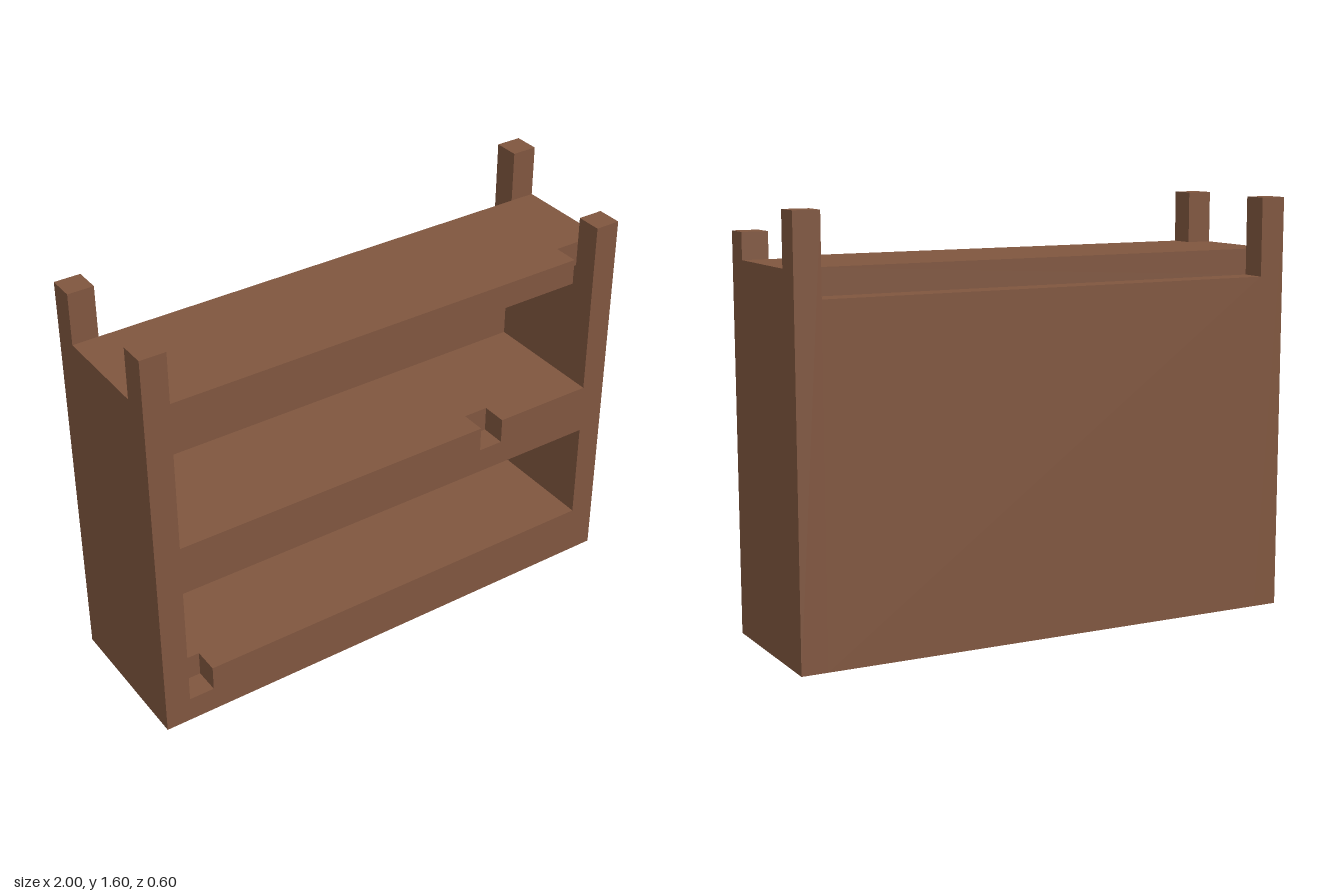
import * as THREE from 'three';

const wood = new THREE.MeshStandardMaterial({ color: 0x80563f });
wood.name = 'brown wood';

const W = 1;      // half width
const D = 0.3;    // half depth
const T = 0.1;    // panel thickness and size of the chipped corners

// Box given by its minimum and maximum corners
function block(name, [x0, y0, z0], [x1, y1, z1]) {
  const geometry = new THREE.BoxGeometry(x1 - x0, y1 - y0, z1 - z0);
  geometry.translate((x0 + x1) / 2, (y0 + y1) / 2, (z0 + z1) / 2);
  const mesh = new THREE.Mesh(geometry, wood);
  mesh.name = name;
  return mesh;
}

// Board between the sides, with a square chip missing from its front edge at chipX
function chippedBoard(name, y, chipX) {
  const l = -W + T, r = W - T, back = -D + T, inner = D - T;
  // plan outline in (x, -z), since the extrusion is turned to point up
  const outline = [[l, back], [r, back], [r, D], [chipX + T, D], [chipX + T, inner],
    [chipX, inner], [chipX, D], [l, D]];
  const points = outline.map(([x, z]) => new THREE.Vector2(x, -z))
    .filter((p, i, all) => i === 0 || p.distanceTo(all[i - 1]) > 1e-6);
  // drop the sliver when the chip touches an end of the board
  if (Math.abs(chipX + T - r) < 1e-6) points.splice(2, 2, new THREE.Vector2(r, -inner));
  if (Math.abs(chipX - l) < 1e-6) points.splice(points.length - 2, 2, new THREE.Vector2(l, -inner));
  const clean = points.filter((p, i, all) => i === 0 || p.distanceTo(all[i - 1]) > 1e-6);
  const geometry = new THREE.ExtrudeGeometry(new THREE.Shape(clean), { depth: T, bevelEnabled: false });
  geometry.rotateX(-Math.PI / 2);
  geometry.translate(0, y, 0);
  const mesh = new THREE.Mesh(geometry, wood);
  mesh.name = name;
  return mesh;
}

// Side panel whose two corner posts rise above the top board
function sidePanel(name, x, frontPostTop) {
  const shape = new THREE.Shape([
    [-D, 0], [D, 0], [D, 1.6], [D - T, 1.6], [D - T, 1.4],
    [-D + T, 1.4], [-D + T, frontPostTop], [-D, frontPostTop],
  ].map(([z, y]) => new THREE.Vector2(z, y)));
  const geometry = new THREE.ExtrudeGeometry(shape, { depth: T, bevelEnabled: false });
  geometry.rotateY(Math.PI / 2);   // shape x becomes -z, depth becomes +x
  geometry.translate(x, 0, 0);
  const mesh = new THREE.Mesh(geometry, wood);
  mesh.name = name;
  return mesh;
}

export function createModel() {
  const model = new THREE.Group();
  model.name = 'bookshelf';
  const l = -W + T, r = W - T, back = -D + T;

  // Sides with posts; the left front post is broken shorter
  model.add(sidePanel('rightSide', -W, 1.6), sidePanel('leftSide', W - T, 1.5));

  // Back panel stops below the top board, leaving a ledge
  model.add(block('backPanel', [l, 0, -D], [r, 1.3, back]));

  // Base and middle shelf: solid lower layer with a chipped layer above
  model.add(block('base', [l, 0, back], [r, 0.1, D]));
  model.add(chippedBoard('baseTop', 0.1, -0.9));
  model.add(block('middleShelf', [l, 0.6, back], [r, 0.7, D]));
  model.add(chippedBoard('middleShelfTop', 0.7, 0.4));

  // Top board
  model.add(chippedBoard('topBoard', 1.3, 0.8));
  return model;
}
